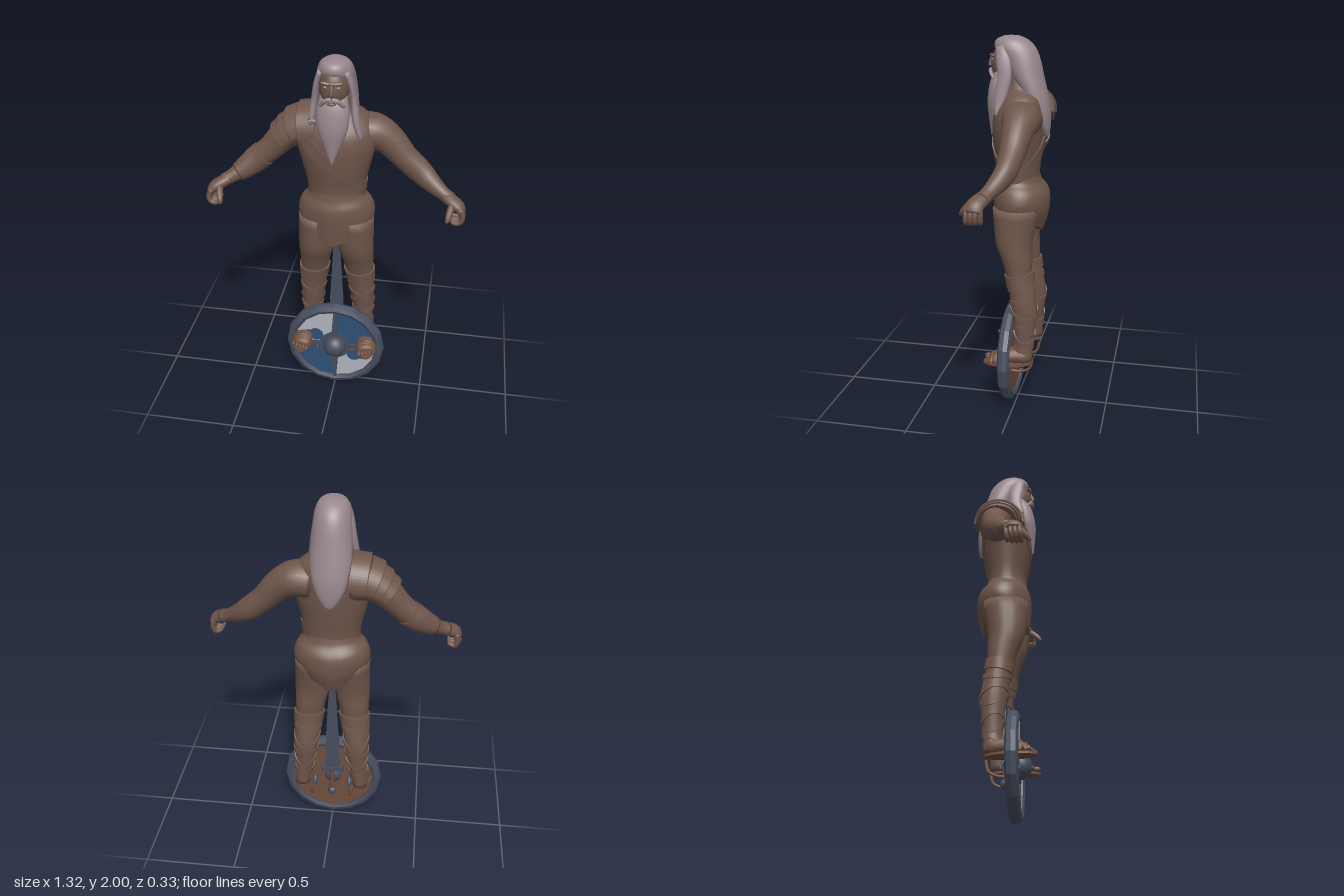
import * as THREE from 'three';
import { toCreasedNormals } from 'three/addons/utils/BufferGeometryUtils.js';

const V = (x, y, z) => new THREE.Vector3(x, y, z);
const Y = V(0, 1, 0), Z = V(0, 0, 1);

// Smooth limb through sections [x, y, z, halfWidth, halfDepth]; level keeps sections horizontal.
function sweep(pts, { seg = 20, steps = 4, level = false, ref = Z, s = 1 } = {}) {
  const path = new THREE.CatmullRomCurve3(pts.map(p => V(p[0] * s, p[1], p[2])), false, 'catmullrom');
  const size = new THREE.CatmullRomCurve3(pts.map(p => V(p[3], p[4], 0)), false, 'catmullrom');
  const n = (pts.length - 1) * steps, pos = [], idx = [];
  for (let i = 0; i <= n; i++) {
    const c = path.getPoint(i / n), r = size.getPoint(i / n);
    const t = level ? Y : path.getTangent(i / n);
    const u = t.clone().cross(ref).normalize(), v = t.clone().cross(u).normalize();
    for (let j = 0; j < seg; j++) {
      const a = j / seg * Math.PI * 2;
      const p = c.clone().addScaledVector(u, r.x * Math.cos(a)).addScaledVector(v, r.y * Math.sin(a));
      pos.push(p.x, p.y, p.z);
      if (i < n) {
        const k = i * seg, j2 = (j + 1) % seg;
        idx.push(k + j, k + j2, k + seg + j, k + j2, k + seg + j2, k + seg + j);
      }
    }
  }
  const a = path.getPoint(0), b = path.getPoint(1), ca = (n + 1) * seg, last = n * seg;
  pos.push(a.x, a.y, a.z, b.x, b.y, b.z);
  for (let j = 0; j < seg; j++) {
    const j2 = (j + 1) % seg;
    idx.push(ca, j2, j, ca + 1, last + j, last + j2);
  }
  const g = new THREE.BufferGeometry();
  g.setAttribute('position', new THREE.Float32BufferAttribute(pos, 3));
  g.setIndex(idx);
  g.computeVertexNormals();
  return g;
}

// Interpolated section of a body at height y (sections listed bottom to top).
function sectionAt(rings, y) {
  let i = 0;
  while (i < rings.length - 2 && rings[i + 1][1] < y) i++;
  const f = (y - rings[i][1]) / (rings[i + 1][1] - rings[i][1]);
  return rings[i].map((v, k) => v + (rings[i + 1][k] - v) * f);
}

// Flat strap around a body; its height follows heightAt(angle).
function wrap(rings, heightAt, h, off, s = 1) {
  const N = 32, pos = [], idx = [];
  for (let i = 0; i < N; i++) {
    const a = i / N * Math.PI * 2, y = heightAt(a);
    for (const [o, dy] of [[-0.01, -h / 2], [off, -h / 2], [off, h / 2], [-0.01, h / 2]]) {
      const r = sectionAt(rings, y + dy);
      pos.push(r[0] * s + (r[3] + o) * Math.cos(a), y + dy, r[2] - (r[4] + o) * Math.sin(a));
    }
    for (let j = 0; j < 4; j++) {
      const A = i * 4 + j, B = (i + 1) % N * 4 + j, C = i * 4 + (j + 1) % 4, D = (i + 1) % N * 4 + (j + 1) % 4;
      idx.push(A, B, C, B, D, C);
    }
  }
  const g = new THREE.BufferGeometry();
  g.setAttribute('position', new THREE.Float32BufferAttribute(pos, 3));
  g.setIndex(idx);
  return toCreasedNormals(g, 0.6);
}

export function createModel() {
  const model = new THREE.Group();
  const mat = (name, color) => Object.assign(new THREE.MeshStandardMaterial({ color }), { name });
  const skin = mat('brown', 0x6f564b), hair = mat('grey hair', 0x98878d), steel = mat('steel', 0x464d5e);
  const blue = mat('blue paint', 0x2f5078), white = mat('white paint', 0xb0b3ba), leather = mat('leather', 0x70503f);
  const add = (name, geo, m, p = [0, 0, 0], sc = [1, 1, 1], parent = model) => {
    const o = new THREE.Mesh(geo, m);
    o.name = name; o.position.set(...p); o.scale.set(...sc);
    parent.add(o);
    return o;
  };
  const ball = new THREE.SphereGeometry(1, 20, 14);

  // Torso and shoulder strap
  const torso = [[0, 1.24, -.005, .145, .108], [0, 1.33, -.005, .148, .108], [0, 1.45, -.003, .175, .127],
    [0, 1.55, -.005, .198, .134], [0, 1.63, -.015, .195, .132], [0, 1.7, -.03, .155, .105],
    [0, 1.75, -.02, .085, .08], [0, 1.84, .01, .055, .06]];
  add('torso', sweep(torso, { seg: 32, level: true }), skin);
  add('chestStrap', wrap(torso, a => 1.475 - .16 * Math.cos(a), .075, .008), skin);

  // Skirt with a hem that dips at front and back
  const skirt = sweep([[0, 1, -.01, .185, .122], [0, 1.1, -.02, .201, .143], [0, 1.2, -.018, .183, .145],
    [0, 1.26, -.008, .15, .118], [0, 1.3, -.005, .142, .108]], { seg: 40, level: true });
  const sp = skirt.attributes.position;
  for (let i = 0; i < sp.count; i++) {
    const drop = .3 - .1 * Math.min(1, Math.abs(sp.getX(i)) / .19);
    sp.setY(i, 1.3 - (1.3 - sp.getY(i)) * drop / .3);
  }
  add('skirt', toCreasedNormals(skirt, 0.9), skin);

  // Head, face and hair
  add('head', ball, skin, [0, 1.865, .05], [.073, .105, .088]);
  add('nose', sweep([[0, 1.9, .132, .008, .008], [0, 1.87, .14, .011, .012], [0, 1.85, .142, .015, .012]], { seg: 10 }), skin);
  add('browRidge', ball, skin, [0, 1.902, .118], [.052, .012, .018]);
  add('lip', ball, skin, [0, 1.808, .137], [.022, .007, .012]);
  add('hair', sweep([[0, 1.5, -.148, .02, .012], [0, 1.56, -.138, .06, .03], [0, 1.64, -.112, .092, .053],
    [0, 1.72, -.085, .1, .065], [0, 1.8, -.05, .1, .082], [0, 1.88, -.02, .094, .094],
    [0, 1.94, .014, .086, .104], [0, 1.98, .03, .066, .08], [0, 2, .032, .03, .036]], { seg: 28, level: true }), hair);
  add('beard', sweep([[0, 1.5, .138, .005, .005], [0, 1.58, .122, .04, .03], [0, 1.67, .112, .073, .046],
    [0, 1.75, .1, .08, .048], [0, 1.8, .083, .072, .05], [0, 1.83, .07, .066, .045]], { level: true }), hair);
  for (const s of [-1, 1]) {
    add('eyebrow', ball, hair, [s * .029, 1.906, .13], [.023, .005, .008]).rotation.z = s * .2;
    add('eye', ball, white, [s * .028, 1.886, .124], [.011, .004, .006]);
    add('ear', ball, skin, [s * .07, 1.87, .03], [.012, .028, .018]);
    add('moustache', sweep([[.002, 1.832, .143, .01, .008], [.03, 1.822, .135, .012, .01],
      [.056, 1.79, .115, .008, .008]], { seg: 10, s }), hair);
    const tip = s > 0 ? [.13, 1.62, .085, .01, .01] : [.1, 1.69, .09, .015, .015];
    add('sideLock', sweep([tip, [.108, 1.7, .07, .018, .03], [.095, 1.8, .05, .017, .035],
      [.083, 1.88, .058, .015, .036], [.06, 1.95, .07, .016, .03]], { seg: 14, s }), hair);
  }

  // Arms and hands
  const arm = [[.1, 1.6, -.045, .09, .1], [.18, 1.605, -.05, .09, .098], [.26, 1.56, -.048, .079, .078],
    [.34, 1.478, -.04, .066, .064], [.42, 1.41, -.03, .062, .054], [.48, 1.365, -.004, .05, .046],
    [.54, 1.33, .028, .036, .036], [.585, 1.308, .048, .034, .036]];
  for (const s of [-1, 1]) {
    add('arm', sweep(arm, { s }), skin);
    add('palm', sweep([[.55, 1.322, .035, .03, .034], [.59, 1.305, .058, .031, .042],
      [.625, 1.285, .074, .029, .044], [.645, 1.26, .076, .02, .04]], { seg: 16, s }), skin);
    for (let i = 0; i < 4; i++) {
      const z = .042 + i * .022, k = i === 0 ? .008 : 0;
      add('finger', sweep([[.63, 1.285, z, .015, .012], [.648 - k, 1.245, z, .014, .012],
        [.638 - k, 1.215, z + .003, .013, .012], [.608, 1.21 + k, z + .005, .011, .011],
        [.592, 1.226, z + .005, .007, .007]], { seg: 10, s }), skin);
    }
    add('thumb', sweep([[.595, 1.305, .075, .018, .018], [.585, 1.275, .115, .017, .017],
      [.578, 1.25, .14, .014, .014], [.574, 1.23, .153, .007, .007]], { seg: 10, s }), skin);
  }
  add('bracer', sweep([[.385, 1.44, -.037, .068, .064], [.42, 1.41, -.03, .069, .061],
    [.48, 1.365, -.004, .057, .053], [.515, 1.345, .014, .047, .046]], { s: -1 }), skin);

  // Layered shoulder plates: [x, y, tilt, radius in z, radius in y, length]
  for (const [x, y, tilt, rz, ry, d] of [[-.09, 1.62, .12, .133, .127, .085], [-.16, 1.62, .4, .122, .11, .06],
    [-.2, 1.603, .6, .111, .097, .055], [-.24, 1.578, .72, .1, .086, .05]]) {
    const sh = new THREE.Shape();
    sh.absellipse(0, 0, rz, ry, -.05, Math.PI + .05, false);
    sh.absellipse(0, 0, rz - .018, ry - .018, Math.PI + .05, -.05, true);
    const g = new THREE.ExtrudeGeometry(sh, { depth: d, curveSegments: 16, bevelSize: .004, bevelThickness: .004, bevelSegments: 1 });
    add('shoulderPlate', g, skin, [x, y, -.035]).rotation.set(0, -Math.PI / 2, tilt, 'ZYX');
  }

  // Legs, boots, criss-cross wraps and feet
  const leg = [[.165, .31, -.06, .042, .048], [.155, .4, -.063, .044, .047], [.146, .5, -.064, .056, .057],
    [.14, .6, -.06, .065, .069], [.132, .7, -.046, .07, .068], [.125, .78, -.03, .073, .067],
    [.117, .86, -.018, .083, .08], [.106, .96, 0, .095, .098], [.1, 1.14, -.008, .098, .122]];
  for (const s of [-1, 1]) {
    add('leg', sweep(leg, { level: true, s }), skin);
    add('bootCuff', wrap(leg, a => .765 + .012 * Math.sin(a), .06, .01, s), skin);
    add('bootBand', wrap(leg, a => .71 + .012 * Math.cos(a), .03, .007, s), skin);
    for (const y of [.46, .6]) for (const k of [-1, 1])
      add('legWrap', wrap(leg, a => y + .045 * k * Math.cos(a) - .02 * Math.sin(a), .024, .007, s), skin);
    add('ankleWrap', wrap(leg, a => .385 + .012 * Math.sin(a), .03, .006, s), skin);
    add('foot', sweep([[.16, .33, -.105, .02, .025], [.163, .335, -.07, .044, .042], [.172, .337, 0, .047, .042],
      [.183, .328, .07, .053, .033], [.19, .316, .115, .05, .02]], { seg: 16, ref: Y, s }), leather);
    for (let i = 0; i < 5; i++)
      add('toe', ball, leather, [s * (.152 + i * .019), .314, .133 - i * .007], [.012 - i * .0008, .013, .021]);
    add('sole', new THREE.CylinderGeometry(1, 1, .012, 24), leather, [s * .175, .295, .025], [.056, 1, .13]).rotation.y = s * .12;
    for (const z of [.075, .1])
      add('sandalStrap', new THREE.TorusGeometry(1, .08, 6, 20, Math.PI), leather, [s * .185, .303, z], [.057, z < .09 ? .06 : .046, .1]);
    // Grips behind the shield
    add('shieldGrip', new THREE.TubeGeometry(new THREE.CatmullRomCurve3([V(s * .11, .29, -.1), V(s * .11, .235, -.085),
      V(s * .11, .212, -.04), V(s * .11, .21, .02)]), 16, .008, 8), leather);
    add('shieldHook', new THREE.TorusGeometry(.045, .01, 8, 14, Math.PI), steel, [s * .1, .25, .015]).rotation.set(0, Math.PI / 2, 0);
  }

  // Round shield
  const shield = new THREE.Group();
  shield.name = 'shield';
  shield.position.y = .287;
  model.add(shield);
  const part = (name, g, m, p, sc) => add(name, g, m, p, sc, shield);
  const rim = [[.232, .008], [.25, 0], [.274, .01], [.282, .033], [.274, .056], [.25, .067], [.232, .057], [.232, .008]];
  const rimGeo = new THREE.LatheGeometry(rim.map(p => new THREE.Vector2(...p)), 16).rotateX(Math.PI / 2);
  part('shieldRim', toCreasedNormals(rimGeo, 0.2), steel);
  part('shieldBoard', new THREE.CylinderGeometry(.24, .24, .03, 16).rotateX(Math.PI / 2), leather, [0, 0, .032]);
  for (let i = 0; i < 4; i++)
    part('paintedQuarter', new THREE.CircleGeometry(.24, 12, i * Math.PI / 2, Math.PI / 2), i % 2 ? white : blue, [0, 0, .0485]);
  for (const s of [-1, 1]) {
    part('paintedPatch', new THREE.CircleGeometry(.042, 12), blue, [s * .11, -s * .062, .0495]);
    part('paintedPatch', new THREE.CircleGeometry(.035, 12), blue, [s * .155, -s * .055, .05]);
  }
  // Cross bands flaring towards the centre, with the boss
  const cross = new THREE.Shape();
  for (let i = 0; i < 4; i++) {
    const c = Math.round(Math.cos(i * Math.PI / 2)), n = Math.round(Math.sin(i * Math.PI / 2));
    for (const [r, w] of [[.09, -.018], [.24, -.007], [.24, .007], [.09, .018], [.062, .062]]) {
      const x = r * c - w * n, y = r * n + w * c;
      cross.shapeless = i || r < .09 || w > 0 || r > .1;
      cross.shapeless ? cross.lineTo(x, y) : cross.moveTo(x, y);
    }
  }
  part('crossBands', new THREE.ExtrudeGeometry(cross, { depth: .014, bevelEnabled: false }), steel, [0, 0, .047]);
  part('boss', ball, steel, [0, 0, .058], [.066, .066, .062]);

  // Sword standing behind the shield, point up
  const blade = new THREE.Shape([[-.04, .37], [.04, .37], [.036, .6], [.018, .92], [0, .98], [-.018, .92], [-.036, .6]]
    .map(p => new THREE.Vector2(...p)));
  add('blade', new THREE.ExtrudeGeometry(blade, { depth: .014, bevelEnabled: false }), steel, [0, 0, -.022]);
  add('guard', new THREE.BoxGeometry(.13, .025, .035), steel, [0, .37, -.015]);
  add('swordGrip', new THREE.CylinderGeometry(.013, .013, .16, 12), leather, [0, .285, -.015]);
  add('pommel', ball, steel, [0, .2, -.015], [.026, .026, .026]);
  return model;
}
